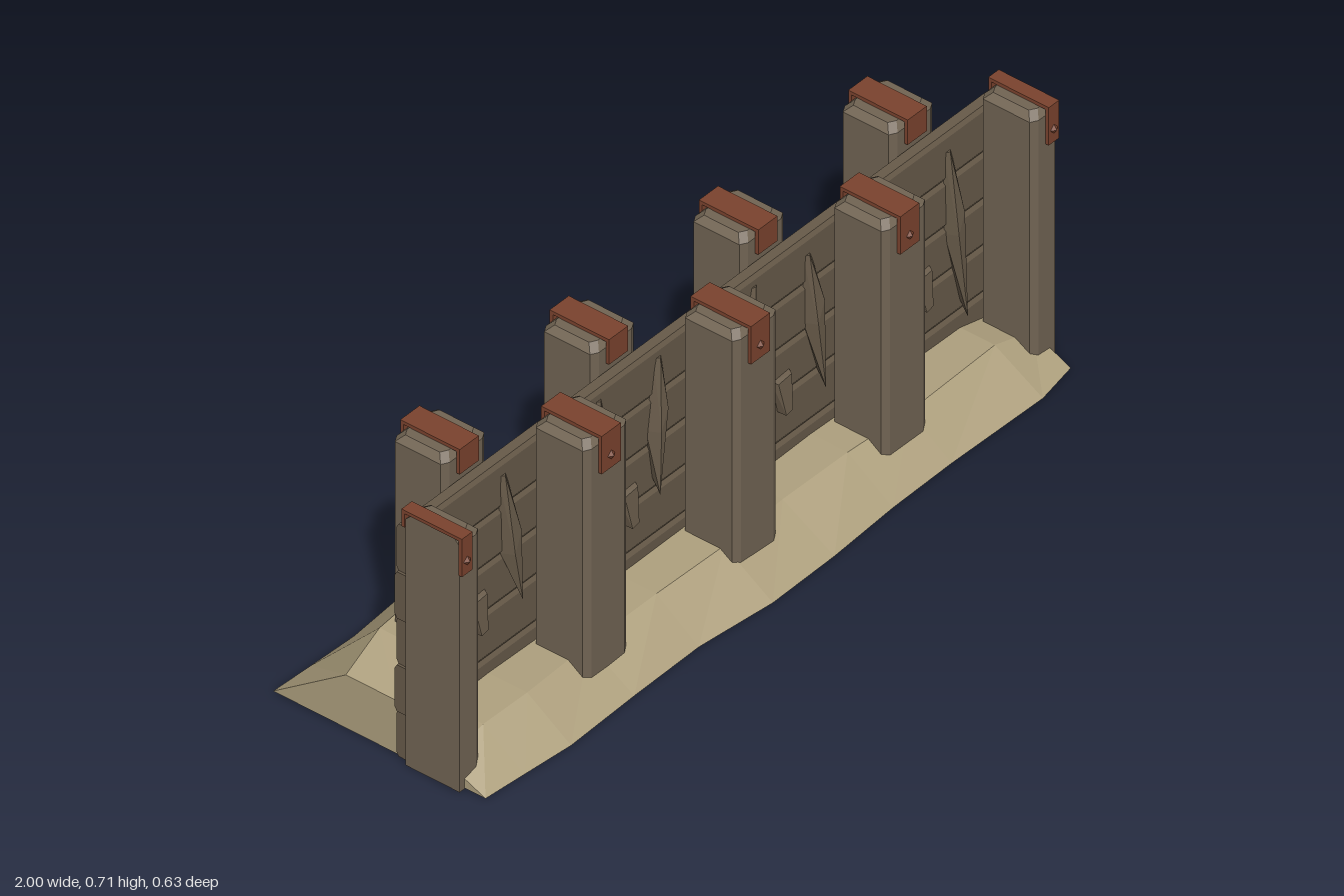
import * as THREE from 'three';
import { ConvexGeometry } from 'three/addons/geometries/ConvexGeometry.js';

const material = (name, color, side = THREE.FrontSide) => {
  const m = new THREE.MeshStandardMaterial({ color, side });
  m.name = name;
  return m;
};

// Upright post with chamfered edges and top, between x0 and x1; cutSide (+1/-1) leaves that end sawn flat
function postGeometry(x0, x1, z0, z1, height, cutSide = 0) {
  const cx = 0.018, cz = 0.01, top = 0.016;
  const points = [];
  for (const [y, inset] of [[0, 0], [height - top, 0], [height, top]]) {
    for (const sx of [-1, 1]) {
      const flat = sx === cutSide;
      const x = sx < 0 ? x0 + (flat ? 0 : inset) : x1 - (flat ? 0 : inset);
      for (const sz of [-1, 1]) {
        const z = sz < 0 ? z0 + inset : z1 - inset;
        if (flat) points.push(new THREE.Vector3(x, y, z));
        else points.push(
          new THREE.Vector3(x, y, z - sz * cz),
          new THREE.Vector3(x - sx * cx, y, z));
      }
    }
  }
  return new ConvexGeometry(points);
}

// Earth bank lofted along x; each ring runs from +z over the top to -z
function bankGeometry(xs, ring) {
  const pos = [];
  const rings = xs.map((x, i) => ring(i).map(([z, y]) => [x, y, z]));
  const tri = (...p) => p.forEach((v) => pos.push(...v));
  for (let i = 0; i < rings.length - 1; i++) {
    const a = rings[i], b = rings[i + 1];
    for (let j = 0; j < 4; j++) {
      const k = (j + 1) % 4;
      tri(a[j], b[j], b[k]);
      tri(a[j], b[k], a[k]);
    }
  }
  const f = rings[0], l = rings[rings.length - 1];
  tri(f[0], f[1], f[2]); tri(f[0], f[2], f[3]);
  tri(l[0], l[2], l[1]); tri(l[0], l[3], l[2]);
  const g = new THREE.BufferGeometry();
  g.setAttribute('position', new THREE.Float32BufferAttribute(pos, 3));
  g.computeVertexNormals();
  return g;
}

export function createModel() {
  const model = new THREE.Group();
  model.name = 'palisadeWall';
  const postWood = material('post wood', 0x716453);
  const plankWood = material('plank wood', 0x675a49);
  const sand = material('sand', 0xaea07e);
  const rust = material('rusted iron', 0x7b432e);
  const add = (name, geometry, mat, parent = model) => {
    const mesh = new THREE.Mesh(geometry, mat);
    mesh.name = name;
    parent.add(mesh);
    return mesh;
  };

  // Horizontal planks with chamfered long edges
  const zBack = 0.035, zFront = 0.072, plankHeight = 0.1255, c = 0.011, d = 0.006;
  for (let i = 0; i < 5; i++) {
    const y0 = i * plankHeight, y1 = y0 + plankHeight;
    const profile = new THREE.Shape([
      [zBack + d, y0], [zFront - d, y0], [zFront, y0 + c], [zFront, y1 - c],
      [zFront - d, y1], [zBack + d, y1], [zBack, y1 - c], [zBack, y0 + c],
    ].map(([z, y]) => new THREE.Vector2(-z, y)));
    const length = 1.966 + (i % 2) * 0.012;
    const g = new THREE.ExtrudeGeometry(profile, { depth: length, bevelEnabled: false });
    g.translate(0, 0, -length / 2);
    g.rotateY(Math.PI / 2);
    add('plank', g, plankWood);
  }

  // Iron strap folded over a post top; dir is the outward z direction
  function addStrap(x0, x1, inner, outer, top, innerEnd, outerEnd, studY, dir) {
    const strap = new THREE.Group();
    strap.name = 'strap';
    model.add(strap);
    const w = x1 - x0, x = (x0 + x1) / 2, t = 0.009;
    const box = (name, h, depth, y, z) =>
      add(name, new THREE.BoxGeometry(w, h, depth), rust, strap).position.set(x, y, z);
    box('strapTop', t, Math.abs(outer - inner) + 2 * t, top + t / 2, (inner + outer) / 2);
    box('strapInnerLeg', top - innerEnd, t, (top + innerEnd) / 2, inner - dir * t / 2);
    box('strapOuterLeg', top - outerEnd, t, (top + outerEnd) / 2, outer + dir * t / 2);
    const stud = add('stud', new THREE.OctahedronGeometry(0.012), rust, strap);
    stud.scale.z = 0.7;
    stud.position.set(x, studY, outer + dir * t);
  }

  // Front posts, with the two end posts sawn in half
  const half = 0.073, strapHalf = 0.032;
  for (const x of [-0.997, -0.5, 0, 0.5, 0.997]) {
    const cut = Math.abs(x) > 0.9 ? Math.sign(x) : 0;
    const span = (h) => [cut < 0 ? x : x - h, cut > 0 ? x : x + h];
    add('frontPost', postGeometry(...span(half), zFront, 0.222, 0.68, cut), postWood);
    const [a, b] = span(strapHalf);
    addStrap(cut < 0 ? -1 : a, cut > 0 ? 1 : b, zFront, 0.222, 0.68, 0.643, 0.587, 0.622, 1);
  }
  // Back posts
  for (const x of [-0.75, -0.25, 0.25, 0.75]) {
    add('backPost', postGeometry(x - half, x + half, -0.112, zBack, 0.701), postWood);
    addStrap(x - strapHalf, x + strapHalf, zBack, -0.112, 0.701, 0.643, 0.606, 0.643, -1);
  }

  // Long splinters: [top x, top y, belly x, belly y, tip x, tip y, half width]
  function addSplinter([tx, ty, bx, by, px, py, w], face, dir) {
    const v = (x, y, out) => new THREE.Vector3(x, y, face + dir * out);
    add('splinter', new ConvexGeometry([
      v(tx - 0.012, ty, -0.004), v(tx + 0.012, ty, -0.004), v(tx, ty, 0.006),
      v(bx - w, by, -0.004), v(bx + w, by, -0.004), v(bx - w * 0.4, by, 0.026),
      v(bx + w * 0.6, by + 0.05, 0.022), v(px, py, 0.03), v(px + 0.01, py + 0.03, -0.004),
    ]), plankWood);
  }
  [
    [-0.87, 0.57, -0.84, 0.36, -0.845, 0.17, 0.028],
    [-0.67, 0.59, -0.65, 0.38, -0.64, 0.25, 0.026],
    [-0.35, 0.6, -0.345, 0.36, -0.365, 0.17, 0.028],
    [-0.15, 0.6, -0.16, 0.42, -0.18, 0.26, 0.028],
    [0.17, 0.6, 0.145, 0.36, 0.125, 0.14, 0.022],
    [0.35, 0.58, 0.365, 0.4, 0.375, 0.22, 0.026],
    [0.65, 0.58, 0.645, 0.35, 0.61, 0.13, 0.024],
    [0.82, 0.58, 0.835, 0.36, 0.85, 0.13, 0.024],
  ].forEach((s) => addSplinter(s, zFront, 1));
  [
    [-0.56, 0.6, -0.575, 0.42, -0.58, 0.23, 0.03],
    [-0.04, 0.6, -0.05, 0.4, -0.06, 0.23, 0.03],
    [0.45, 0.6, 0.44, 0.42, 0.43, 0.23, 0.03],
  ].forEach((s) => addSplinter(s, zBack, -1));

  // Short wedge-shaped chips
  function addChip(x, y, face, dir) {
    const v = (dx, dy, out) => new THREE.Vector3(x + dx, y + dy, face + dir * out);
    add('chip', new ConvexGeometry([
      v(-0.03, 0.045, -0.003), v(0.028, 0.05, -0.003), v(-0.022, 0.04, 0.012), v(0.022, 0.045, 0.012),
      v(-0.012, -0.045, -0.003), v(0.012, -0.045, -0.003), v(-0.01, -0.045, 0.024), v(0.012, -0.04, 0.024),
    ]), plankWood);
  }
  [[-0.76, 0.27], [-0.255, 0.26], [0.26, 0.26], [0.73, 0.26]].forEach(([x, y]) => addChip(x, y, zFront, 1));
  [-0.43, 0.11, 0.6].forEach((x) => addChip(x, 0.29, zBack, -1));

  // Sand banks: high behind the wall, low in front
  const xs = [-0.98, -0.86, -0.72, -0.5, -0.28, -0.06, 0.15, 0.36, 0.56, 0.86, 0.98];
  const backToe = [0.31, 0.305, 0.3, 0.316, 0.303, 0.32, 0.287, 0.31, 0.29, 0.315, 0.287];
  const backCrest = [0.145, 0.198, 0.205, 0.215, 0.2, 0.22, 0.2, 0.212, 0.2, 0.198, 0.145];
  const frontToe = [0.28, 0.29, 0.302, 0.295, 0.292, 0.315, 0.312, 0.3, 0.297, 0.302, 0.28];
  const frontCrest = [0.05, 0.08, 0.085, 0.08, 0.088, 0.09, 0.085, 0.09, 0.084, 0.08, 0.05];
  const base = 0.002;
  add('backBank', bankGeometry(xs, (i) => [
    [zBack, base], [zBack, Math.min(backCrest[i], 0.196)],
    [-0.108 - (i % 3) * 0.006, backCrest[i]], [-backToe[i], base],
  ]), sand);
  add('frontBank', bankGeometry(xs, (i) => [
    [frontToe[i], base], [0.168 + (i % 3) * 0.006, frontCrest[i]],
    [zFront - 0.005, frontCrest[i]], [zFront - 0.005, base],
  ]), sand);

  return model;
}
